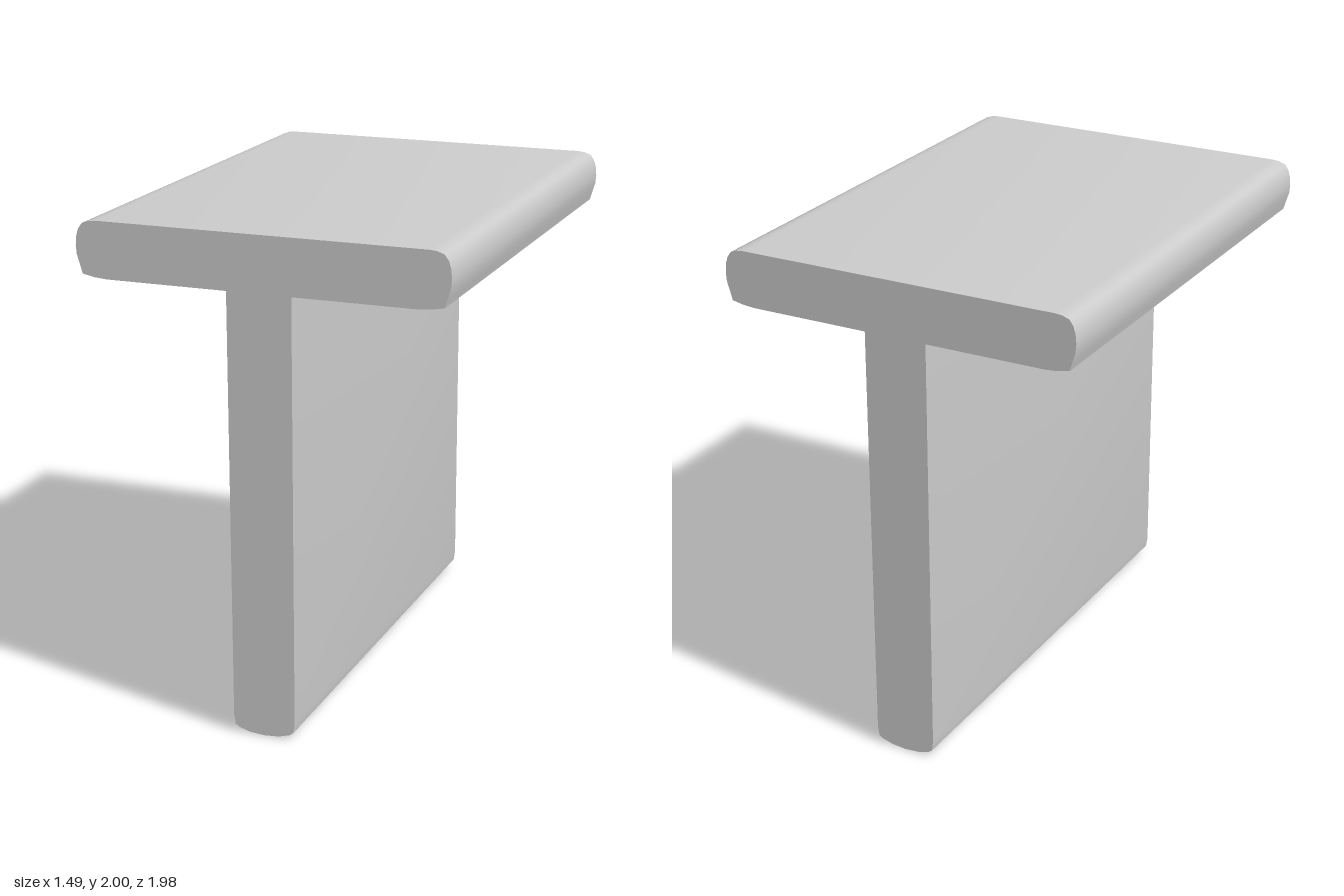
import * as THREE from 'three';
import { toCreasedNormals } from 'three/addons/utils/BufferGeometryUtils.js';

// Right half of the T cross-section, from the middle of the foot up to the top.
const HALF_PROFILE = [
  [0, 0], [0.06, 0.005], [0.105, 0.018], [0.122, 0.03], [0.128, 0.07],
  [0.13, 1.778],
  [0.62, 1.778], [0.67, 1.782], [0.72, 1.792],
  [0.728, 1.82], [0.742, 1.865], [0.745, 1.9], [0.742, 1.935],
  [0.733, 1.965], [0.717, 1.987], [0.69, 1.997], [0.66, 2],
];
const LENGTH = 1.98;

export function createModel() {
  const group = new THREE.Group();
  group.name = 'tBeam';

  // Mirror the half profile into the full closed outline.
  const right = HALF_PROFILE.map(([x, y]) => new THREE.Vector2(x, y));
  const left = HALF_PROFILE.slice(1).reverse().map(([x, y]) => new THREE.Vector2(-x, y));
  const outline = new THREE.Shape([...right, ...left]);

  // Straight extrusion along z, with crisp ends and softly rounded edges.
  let geometry = new THREE.ExtrudeGeometry(outline, { depth: LENGTH, bevelEnabled: false });
  geometry.translate(0, 0, -LENGTH / 2);
  geometry = toCreasedNormals(geometry, THREE.MathUtils.degToRad(40));

  const beam = new THREE.Mesh(geometry, new THREE.MeshStandardMaterial({ color: 0xcccccc }));
  beam.name = 'beamBody';
  group.add(beam);
  return group;
}
